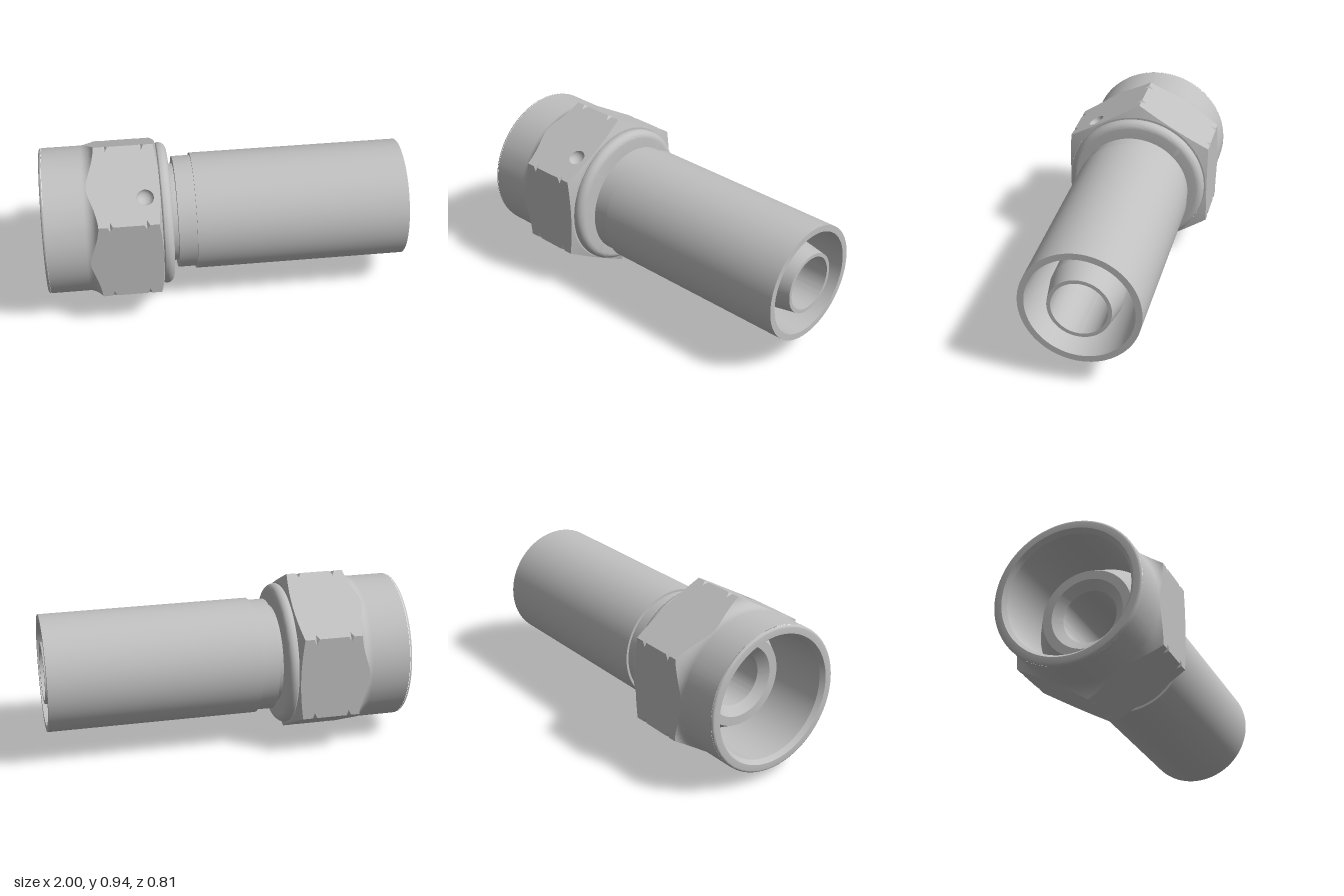
import * as THREE from 'three';
import { toCreasedNormals } from 'three/addons/utils/BufferGeometryUtils.js';

const AXIS_Y = 0.47;      // height of the fitting's axis
const FLAT = 0.407;       // axis to hex flat
const COLLAR = 0.405;     // round end of the nut
const FILLET = 0.07;      // concave blend from collar to hex
const FILLET_X = -0.772;
const NOTCH_R = 0.455;    // bottom of the corner notches
const NOTCHES = [-0.64, -0.445];
const DIMPLE = { x0: -0.495, x1: -0.392, a0: -17, a1: -4, r: 0.046 };
const rad = THREE.MathUtils.degToRad;

// Revolve [x, r] points about the x axis; outside runs towards +x
function revolve(points, crease = 0.4) {
  const g = new THREE.LatheGeometry(points.map(([x, r]) => new THREE.Vector2(r, x)), 96);
  g.rotateZ(-Math.PI / 2);
  return toCreasedNormals(g, crease);
}

function arc(cx, cr, radius, from, to, steps = 7) {
  return Array.from({ length: steps + 1 }, (_, i) => {
    const a = rad(from + (to - from) * i / steps);
    return [cx + radius * Math.cos(a), cr + radius * Math.sin(a)];
  });
}

// Columns around the hexagon: one list of angles repeated on six sides
const half = [4, 8.5, 13, 17, 22, 26.56, 27.7, 28.8, 30];
const sideAngles = [...half.map(a => -a).reverse(), 0, ...half];

// Skin around the axis; rows(hexRadius) gives the [x, r] points of a column
function hexSkin(rows, skip = () => false) {
  const pos = [];
  const column = (side, a) => rows(FLAT / Math.cos(rad(a))).map(([x, r]) => {
    const t = rad(side * 60 + a);
    return [x, r * Math.sin(t), r * Math.cos(t)];
  });
  for (let side = 0; side < 6; side++) {
    for (let i = 0; i < sideAngles.length - 1; i++) {
      const p = column(side, sideAngles[i]);
      const q = column(side, sideAngles[i + 1]);
      for (let j = 0; j < p.length - 1; j++) {
        if (skip(side, sideAngles[i], j)) continue;
        pos.push(...p[j], ...p[j + 1], ...q[j + 1], ...p[j], ...q[j + 1], ...q[j]);
      }
    }
  }
  const g = new THREE.BufferGeometry();
  g.setAttribute('position', new THREE.Float32BufferAttribute(pos, 3));
  g.computeVertexNormals();
  return toCreasedNormals(g, 0.35);
}

const filletAngle = r => Math.acos(1 - (r - COLLAR) / FILLET);
const filletX = r => FILLET_X + FILLET * Math.sin(filletAngle(r));
const chamferX = r => -0.38 + 0.02 * (0.47 - r) / 0.07;

// Round collar and the blend that runs out on the flats
function collarRows(h) {
  const rows = [[-0.985, COLLAR], [FILLET_X, COLLAR]];
  for (let i = 1; i <= 8; i++) {
    const a = filletAngle(h) * i / 8;
    rows.push([FILLET_X + FILLET * Math.sin(a), COLLAR + FILLET * (1 - Math.cos(a))]);
  }
  return rows;
}

// Flats with V notches across the corners
function flatRows(h) {
  const w = Math.max(0, h - NOTCH_R);
  const notch = x => [[x - w, h], [x, Math.min(h, NOTCH_R)], [x + w, h]];
  return [[filletX(h), h], ...notch(NOTCHES[0]), [DIMPLE.x0, h],
    ...notch(NOTCHES[1]), [DIMPLE.x1, h], [chamferX(h), h]];
}

const chamferRows = h => [[chamferX(h), h], [chamferX(0.4), 0.4]];

export function createModel() {
  const steel = new THREE.MeshStandardMaterial({ color: 0xc0c0c0 });
  steel.name = 'steel';
  const model = new THREE.Group();
  model.name = 'hoseFitting';
  const fitting = new THREE.Group();
  fitting.name = 'fitting';
  fitting.position.y = AXIS_Y;
  model.add(fitting);

  const add = (parent, name, geometry) => {
    const mesh = new THREE.Mesh(geometry, steel);
    mesh.name = name;
    parent.add(mesh);
  };

  // Swivel nut
  const nut = new THREE.Group();
  nut.name = 'swivelNut';
  fitting.add(nut);
  add(nut, 'nutCollar', hexSkin(collarRows));
  add(nut, 'hexFlats', hexSkin(flatRows, (side, a, row) =>
    side === 1 && a >= DIMPLE.a0 && a < DIMPLE.a1 && row >= 4 && row < 8));
  add(nut, 'hexChamfer', hexSkin(chamferRows));

  // Rounded crimp ring behind the hex, then the threaded bore
  add(nut, 'crimpRingAndBore', revolve([
    [-0.36, 0.4], [-0.36, 0.38],
    ...arc(-0.345, 0.38, 0.015, 180, 90, 5),
    ...arc(-0.34, 0.355, 0.04, 90, 0),
    [-0.30, 0.275], [-0.45, 0.275], [-0.45, 0.34],
    [-0.975, 0.34], [-1, 0.36], [-1, 0.392],
    ...arc(-0.987, 0.392, 0.013, 180, 90, 4),
  ]));

  // Drilled dimple on the upper front flat
  const dimple = new THREE.Group();
  dimple.name = 'dimple';
  dimple.rotation.x = rad(30);
  dimple.position.set(0, FLAT * Math.cos(rad(30)), FLAT * Math.sin(rad(30)));
  nut.add(dimple);
  const z0 = FLAT * Math.tan(rad(-DIMPLE.a1));
  const z1 = FLAT * Math.tan(rad(-DIMPLE.a0));
  const cx = (DIMPLE.x0 + DIMPLE.x1) / 2;
  const cz = (z0 + z1) / 2;
  const plate = new THREE.Shape([[DIMPLE.x0, -z1], [DIMPLE.x1, -z1], [DIMPLE.x1, -z0], [DIMPLE.x0, -z0]]
    .map(p => new THREE.Vector2(...p)));
  plate.holes.push(new THREE.Path().absarc(cx, -cz, DIMPLE.r, 0, Math.PI * 2, true));
  add(dimple, 'dimpleSurround', new THREE.ShapeGeometry(plate, 24).rotateX(-Math.PI / 2));
  const bowl = arc(0, 0, DIMPLE.r, 0, -90, 8).map(([r, y]) => new THREE.Vector2(Math.max(r, 0), y * 0.85));
  add(dimple, 'dimpleBowl', new THREE.LatheGeometry(bowl, 32).translate(cx, 0, cz));

  // Stem: sealing head, neck, tapered hose nipple and through hole
  add(fitting, 'stem', revolve([
    [-0.70, 0.15], [-0.74, 0.2], [-0.74, 0.25], [-0.58, 0.337], [-0.46, 0.337],
    [-0.46, 0.272], [-0.2, 0.272], [-0.2, 0.195], [0.85, 0.195], [1, 0.17],
    [1, 0.15], [-0.70, 0.15],
  ], 0.15));

  // Ferrule: stepped shoulder, long sleeve and tapered pocket
  add(fitting, 'ferrule', revolve([
    [-0.27, 0.26], [-0.27, 0.312], [-0.17, 0.312], [-0.17, 0.325],
    [1, 0.325], [1, 0.29], [0, 0.25], [0, 0.19],
  ]));

  return model;
}
